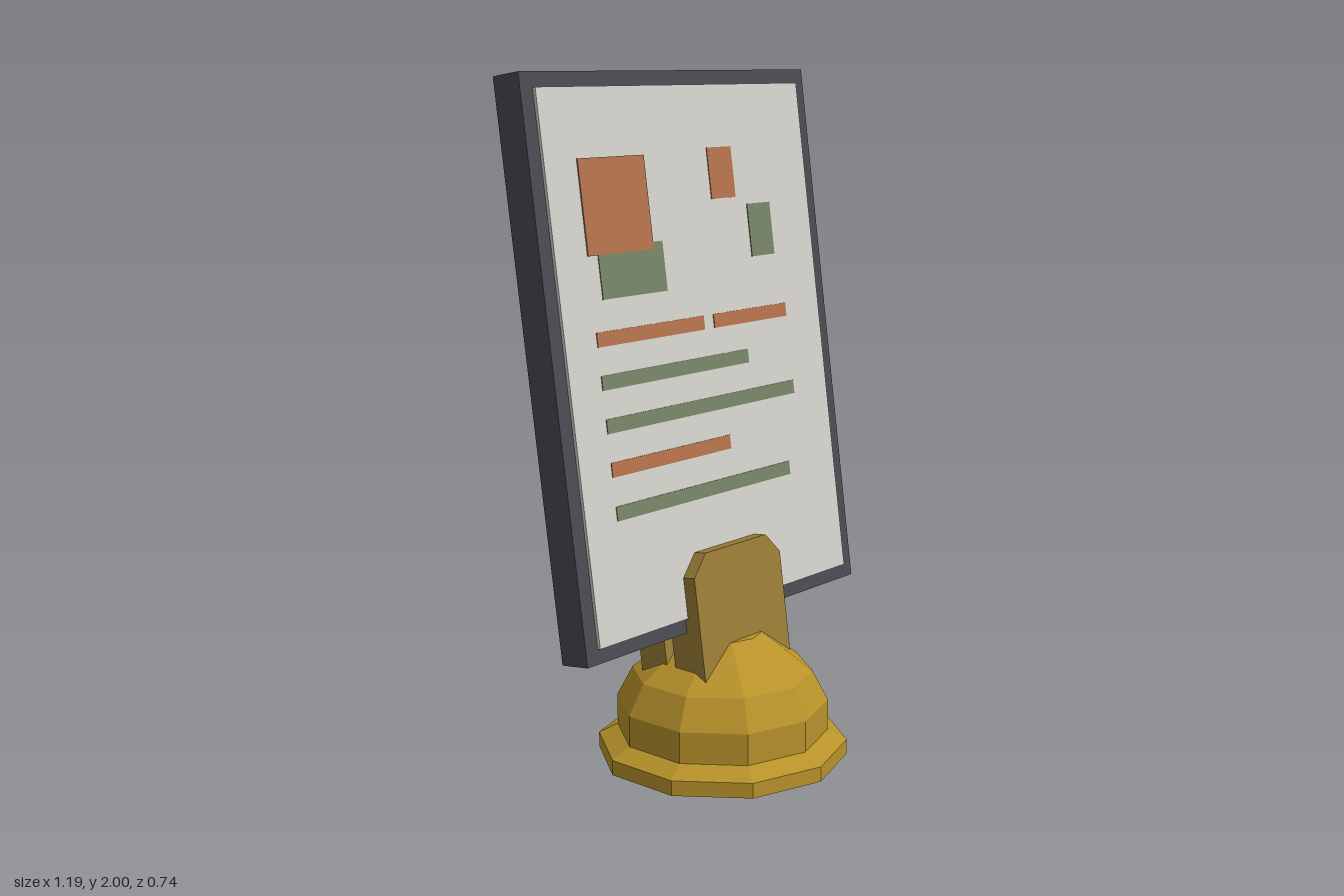
import * as THREE from 'three';

const mat = (name, color) => {
  const m = new THREE.MeshStandardMaterial({ color });
  m.name = name;
  return m;
};

export function createModel() {
  const gold = mat('gold', 0xb8922a);
  const bronze = mat('bronze', 0x9a7d36);
  const dark = mat('darkFrame', 0x4a4a52);
  const paper = mat('paper', 0xd4d1cb);
  const orange = mat('orange', 0xb4724a);
  const green = mat('green', 0x768466);

  const model = new THREE.Group();
  model.name = 'tabletopSign';
  const add = (parent, name, geometry, material, x = 0, y = 0, z = 0) => {
    const mesh = new THREE.Mesh(geometry, material);
    mesh.name = name;
    mesh.position.set(x, y, z);
    parent.add(mesh);
    return mesh;
  };

  // Ten-sided stepped dome base, faceted
  const profile = [
    [0, 0], [0.372, 0], [0.372, 0.045], [0.315, 0.075], [0.315, 0.168],
    [0.268, 0.257], [0.117, 0.374], [0, 0.374],
  ].map(([r, y]) => new THREE.Vector2(r, y));
  const dome = new THREE.LatheGeometry(profile, 10).toNonIndexed();
  dome.computeVertexNormals();
  add(model, 'domeBase', dome, gold);

  // Everything above the base leans back together
  const sign = new THREE.Group();
  sign.name = 'sign';
  sign.position.set(0, 1.204, -0.127);
  sign.rotation.x = -THREE.MathUtils.degToRad(8);
  model.add(sign);

  add(sign, 'frame', new THREE.BoxGeometry(1.19, 1.594, 0.098), dark);

  // Sheets just proud of the frame, front and back
  for (const [name, side] of [['frontSheet', 1], ['backSheet', -1]]) {
    add(sign, name, new THREE.BoxGeometry(1.1, 1.51, 0.012), paper, 0, 0, side * 0.053);
  }

  // Printed blocks and lines: left, right, bottom, top, colour, lift
  const prints = [
    ['largeBlock', -0.43, -0.17, 1.51, 1.77, orange, 0.002],
    ['wideBlock', -0.39, -0.13, 1.39, 1.53, green, 0],
    ['smallBlock', 0.1, 0.207, 1.633, 1.78, orange, 0],
    ['sideBlock', 0.255, 0.36, 1.455, 1.61, green, 0],
    ['line', -0.43, 0.01, 1.265, 1.305, orange, 0],
    ['line', 0.053, 0.387, 1.265, 1.305, orange, 0],
    ['line', -0.43, 0.19, 1.148, 1.188, green, 0],
    ['line', -0.43, 0.387, 1.03, 1.07, green, 0],
    ['line', -0.43, 0.069, 0.911, 0.951, orange, 0],
    ['line', -0.43, 0.328, 0.791, 0.831, green, 0],
  ];
  for (const [name, x0, x1, y0, y1, material, lift] of prints) {
    const geometry = new THREE.BoxGeometry(x1 - x0, (y1 - y0) / 0.99, 0.004);
    add(sign, name, geometry, material, (x0 + x1) / 2, ((y0 + y1) / 2 - 1.2125) / 0.99, 0.0595 + lift);
  }

  // Chamfered clips gripping the lower edge from both sides
  const clip = (name, top, zBack, zFront, chamferY) => {
    const w = 0.193, t = 0.135, bottom = -1.01;
    const shape = new THREE.Shape([
      [-w, bottom], [w, bottom], [w, top - chamferY], [t, top], [-t, top], [-w, top - chamferY],
    ].map(([x, y]) => new THREE.Vector2(x, y)));
    const geometry = new THREE.ExtrudeGeometry(shape, { depth: zFront - zBack, bevelEnabled: false });
    add(sign, name, geometry, bronze, 0, 0, zBack);
  };
  clip('frontClip', -0.574, -0.012, 0.101, 0.062);
  clip('backClip', -0.673, -0.147, -0.045, 0.075);

  return model;
}
